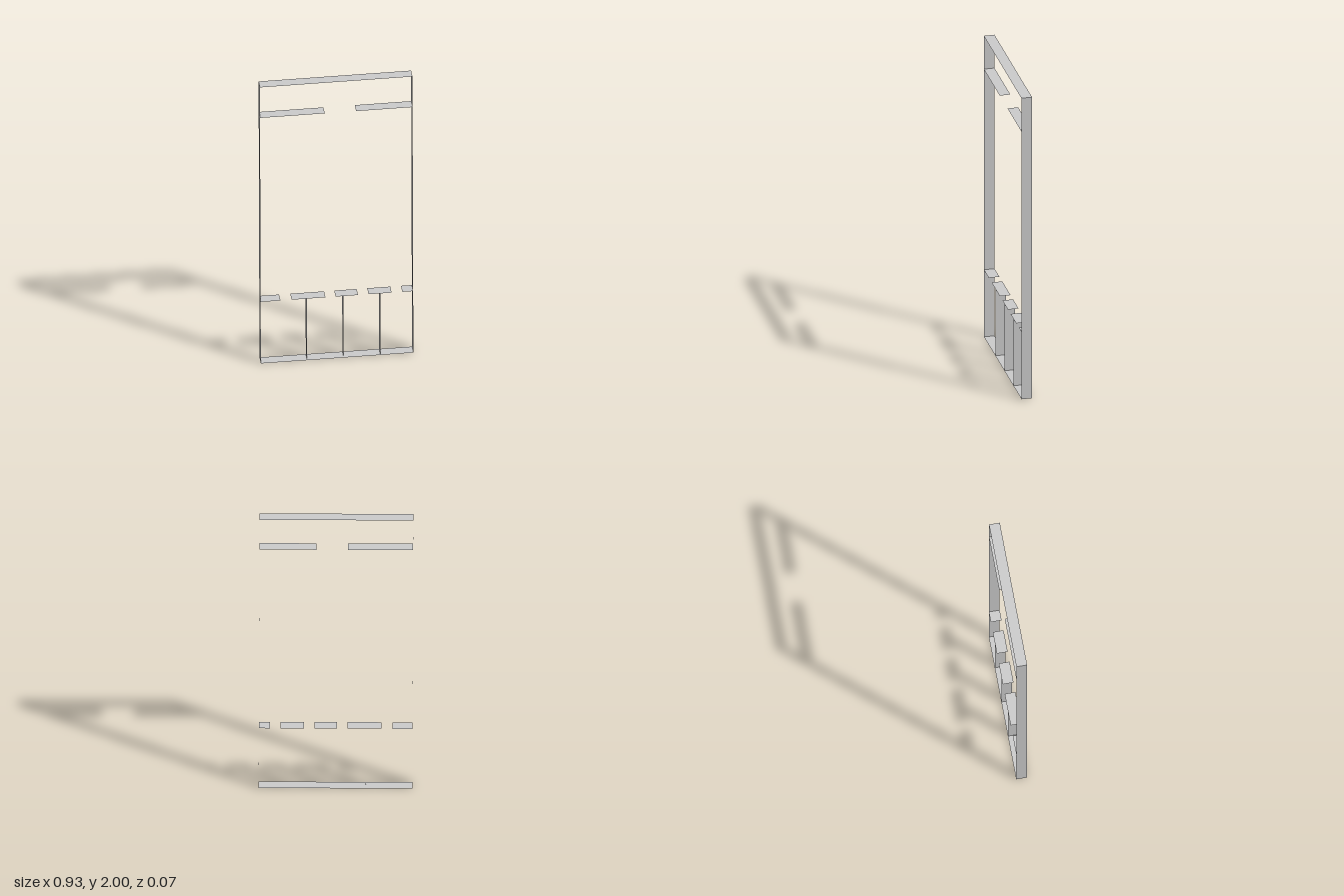
import * as THREE from 'three';

const W = 0.463;      // half width
const H = 1.997;      // height
const DEPTH = 0.066;
const TILT = 0.0028;  // the whole frame leans very slightly

export function createModel() {
  const model = new THREE.Group();
  model.name = 'openFrame';
  const frame = new THREE.Group();
  frame.name = 'frame';
  const material = new THREE.MeshStandardMaterial({ color: 0xcccccc, side: THREE.DoubleSide });

  // Thin strip lying flat, from x0 to x1 at height y
  function board(name, x0, x1, y) {
    const geometry = new THREE.PlaneGeometry(x1 - x0, DEPTH).rotateX(-Math.PI / 2);
    const mesh = new THREE.Mesh(geometry, material);
    mesh.position.set((x0 + x1) / 2, y, 0);
    mesh.name = name;
    frame.add(mesh);
  }

  // Thin strip standing upright at x, from the floor to a height
  function upright(name, x, height) {
    const geometry = new THREE.PlaneGeometry(DEPTH, height).rotateY(Math.PI / 2);
    const mesh = new THREE.Mesh(geometry, material);
    mesh.position.set(x, height / 2, 0);
    mesh.name = name;
    frame.add(mesh);
  }

  // Outer frame
  board('bottomBoard', -W, W, 0);
  board('topBoard', -W, W, H);
  upright('leftSide', W, H);
  upright('rightSide', -W, H);

  // Upper shelf, open in the middle
  for (const [x0, x1] of [[-W, -0.07], [0.12, W]]) board('upperShelf', x0, x1, 1.776);

  // Lower shelf in five pieces
  const pieces = [[-W, -0.343], [-0.275, -0.07], [-0.008, 0.128], [0.192, 0.332], [0.397, W]];
  for (const [x0, x1] of pieces) board('lowerShelf', x0, x1, 0.445);

  // Dividers under the lower shelf
  for (const x of [-0.182, 0.04, 0.263]) upright('divider', x, 0.445);

  // Lean about the middle, resting on the lower corner
  frame.rotation.z = TILT;
  frame.position.set((H / 2) * TILT, W * TILT, 0);
  model.add(frame);
  return model;
}
